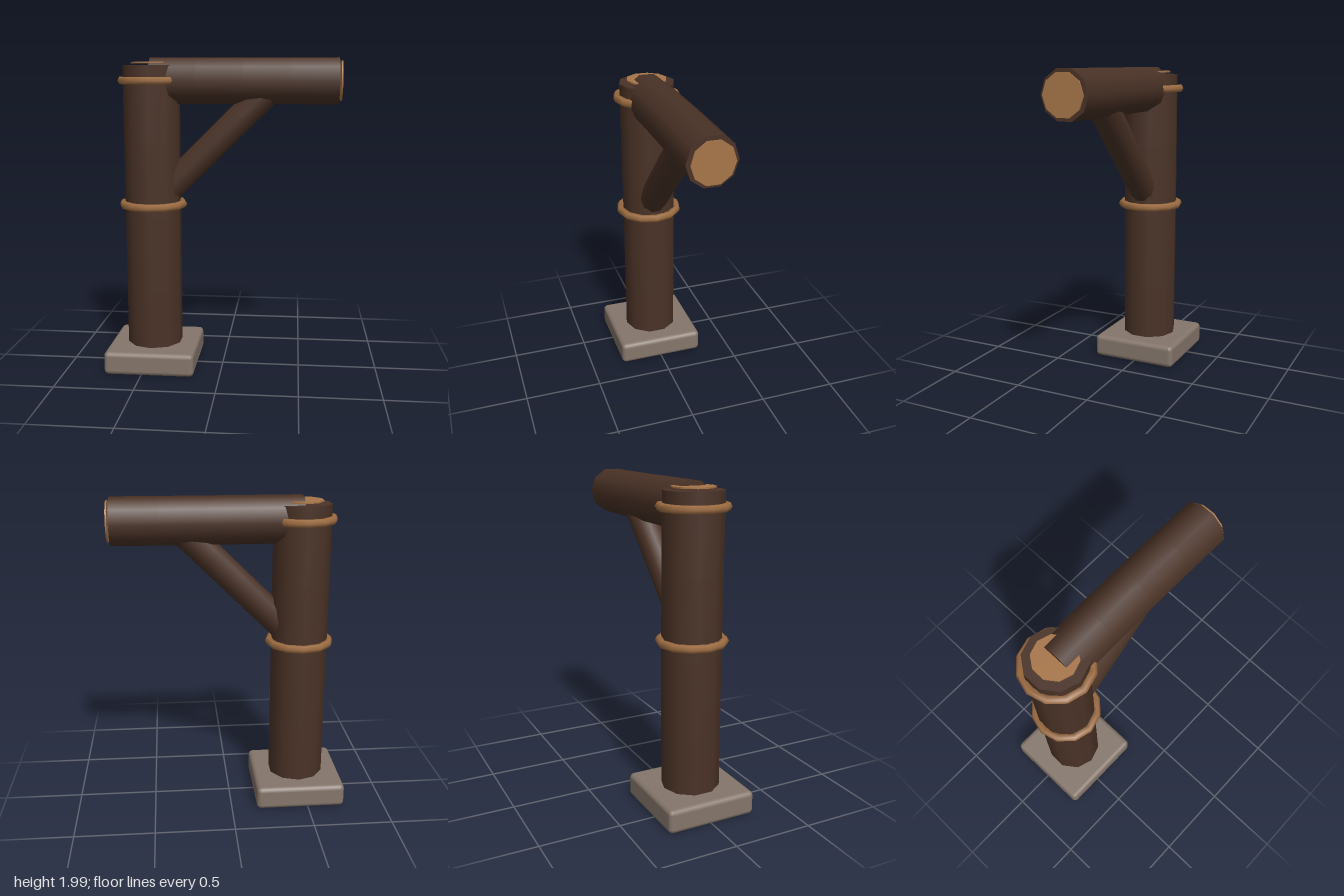
import * as THREE from 'three';
import { RoundedBoxGeometry } from 'three/addons/geometries/RoundedBoxGeometry.js';

export function createModel() {
  const model = new THREE.Group();
  model.name = 'timberBracketPost';

  const paint = (name, color) => {
    const m = new THREE.MeshStandardMaterial({ color });
    m.name = name;
    return m;
  };
  const bark = paint('dark bark', 0x4a3226);
  const cutWood = paint('cut wood', 0xa8764a);
  const band = paint('tan band', 0x9c6c42);
  const stone = paint('grey stone', 0x85766b);

  const add = (name, geometry, material, x = 0, y = 0, z = 0) => {
    const mesh = new THREE.Mesh(geometry, material);
    mesh.name = name;
    mesh.position.set(x, y, z);
    model.add(mesh);
    return mesh;
  };

  const UP = new THREE.Vector3(0, 1, 0);
  const postX = -0.45, beamY = 1.855;

  // Ten-sided log between two points, with a slight natural bow
  function addLog(name, from, to, radius, bow) {
    const a = new THREE.Vector3(...from), b = new THREE.Vector3(...to);
    const length = a.distanceTo(b);
    const geometry = new THREE.CylinderGeometry(radius, radius, length, 10, 4);
    const p = geometry.attributes.position;
    for (let i = 0; i < p.count; i++) {
      const t = p.getY(i) / length + 0.5;
      p.setZ(i, p.getZ(i) + bow * Math.sin(t * Math.PI));
    }
    geometry.computeBoundingSphere();
    const log = add(name, geometry, bark);
    log.position.copy(a).add(b).multiplyScalar(0.5);
    log.quaternion.setFromUnitVectors(UP, b.sub(a).normalize());
  }

  // Stone footing
  add('footing', new RoundedBoxGeometry(0.576, 0.15, 0.576, 2, 0.03), stone, postX, 0.08, 0);

  // Upright, crossbeam and diagonal brace
  addLog('post', [postX, 0.04, 0], [postX, 1.95, 0], 0.18, -0.003);
  addLog('beam', [postX, beamY, 0], [0.715, beamY, 0], 0.148, -0.007);
  addLog('brace', [-0.42, 1.1, 0], [0.3, 1.815, 0], 0.093, 0.002);

  // Pale cut faces on the ends of the logs
  add('postEnd', new THREE.CylinderGeometry(0.13, 0.13, 0.009, 10), cutWood, postX, 1.966, 0);
  const beamEnd = add('beamEnd', new THREE.CylinderGeometry(0.127, 0.127, 0.009, 10), cutWood, 0.73, beamY, 0);
  beamEnd.rotation.z = -Math.PI / 2;

  // Bands around the post
  for (const [name, y] of [['lowerBand', 1.075], ['upperBand', 1.857]]) {
    const ring = add(name, new THREE.TorusGeometry(0.193, 0.026, 6, 12), band, postX, y, 0);
    ring.rotation.x = Math.PI / 2;
  }

  return model;
}
